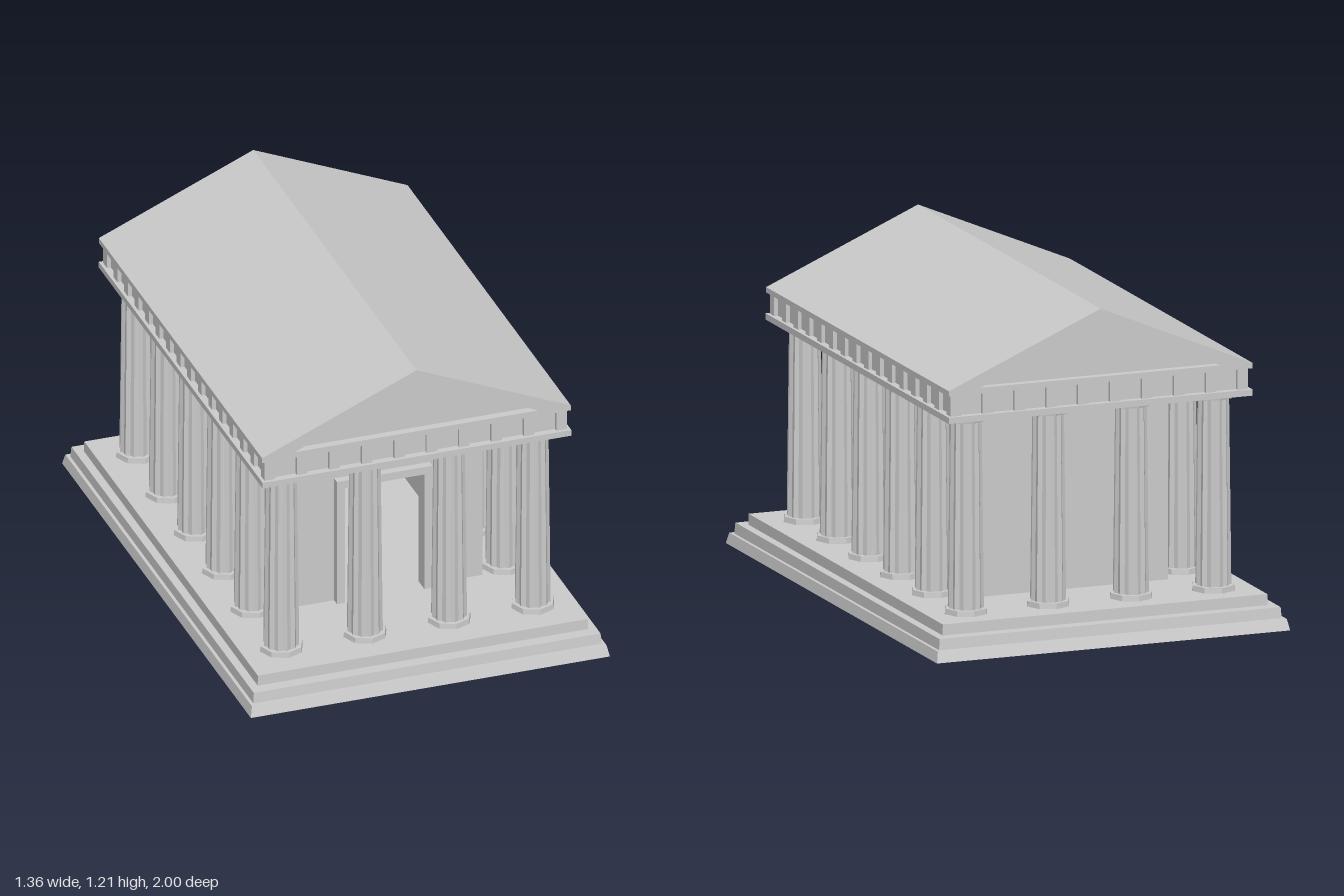
import * as THREE from 'three';

const mat = new THREE.MeshStandardMaterial({ color: 0xcccccc, flatShading: true });
const openMat = new THREE.MeshStandardMaterial({ color: 0xcccccc, flatShading: true, side: THREE.DoubleSide });
const ZC = -0.01; // centre of the upper building along z

function add(parent, geometry, name, x = 0, y = 0, z = 0, material = mat) {
  const mesh = new THREE.Mesh(geometry, material);
  mesh.name = name;
  mesh.position.set(x, y, z);
  parent.add(mesh);
  return mesh;
}

// Box given by half width, half depth and vertical extent
function slab(parent, name, hx, hz, y0, y1, x = 0, z = 0) {
  return add(parent, new THREE.BoxGeometry(hx * 2, y1 - y0, hz * 2), name, x, (y0 + y1) / 2, z);
}

// Shaft with every second edge pulled in to form flutes
function flutedShaft(rTop, rBottom, height, flutes) {
  const g = new THREE.CylinderGeometry(rTop, rBottom, height, flutes * 2, 1, true);
  const p = g.attributes.position;
  for (let i = 0; i < p.count; i++) {
    const step = Math.round(Math.atan2(p.getX(i), p.getZ(i)) / (Math.PI / flutes));
    const k = Math.abs(step) % 2 ? 0.89 : 1;
    p.setX(i, p.getX(i) * k);
    p.setZ(i, p.getZ(i) * k);
  }
  return g;
}

// Outline through points, as a shape or as a hole
function outline(points, PathType) {
  return new PathType(points.map(([x, y]) => new THREE.Vector2(x, y)));
}

export function createModel() {
  const temple = new THREE.Group();
  temple.name = 'temple';

  // Stepped platform: a four-sided shell, open underneath
  const profile = [[1, 0], [0.988, 0.04], [0.97, 0.04], [0.966, 0.08], [0.92, 0.08], [0.919, 0.12], [0, 0.12]]
    .map(([r, y]) => new THREE.Vector2(r * Math.SQRT2, y));
  const platform = new THREE.LatheGeometry(profile, 4, Math.PI / 4);
  platform.scale(0.678, 1, 1);
  add(temple, platform, 'steppedPlatform', 0, 0, 0, openMat);

  // Ring of columns: 4 across, 6 along
  const baseGeo = new THREE.CylinderGeometry(0.079, 0.081, 0.02, 8);
  const shaftGeo = flutedShaft(0.057, 0.065, 0.69, 12);
  const capGeo = new THREE.CylinderGeometry(0.075, 0.072, 0.016, 8);
  const columnX = [-0.475, -0.159, 0.159, 0.475];
  const columnZ = [-0.762, -0.45, -0.15, 0.15, 0.45, 0.762];
  columnX.forEach((x, i) => columnZ.forEach((z, j) => {
    if (i > 0 && i < 3 && j > 0 && j < 5) return;
    const column = new THREE.Group();
    column.name = 'column';
    column.position.set(x, 0, ZC + z);
    add(column, baseGeo, 'columnBase', 0, 0.13, 0);
    add(column, shaftGeo, 'columnShaft', 0, 0.483, 0);
    add(column, capGeo, 'columnCapital', 0, 0.832, 0);
    temple.add(column);
  }));

  // Inner chamber: four thin walls with a doorway in the front
  const chamber = new THREE.Group();
  chamber.name = 'chamber';
  temple.add(chamber);
  const front = 0.485, back = -0.575, t = 0.01, hw = 0.381, door = 0.15;
  for (const s of [-1, 1]) {
    slab(chamber, 'sideWall', t, (front - back) / 2, 0.12, 0.84, s * (hw - t), (front + back) / 2);
    slab(chamber, 'frontWall', (hw - 2 * t - door) / 2, t, 0.12, 0.84, s * (hw - 2 * t + door) / 2, front - t);
    slab(chamber, 'doorJamb', 0.015, 0.03, 0.12, 0.585, s * (door + 0.015), front);
  }
  slab(chamber, 'backWall', hw - 2 * t, t, 0.12, 0.84, 0, back + t);
  slab(chamber, 'wallOverDoor', door, t, 0.585, 0.84, 0, front - t);
  slab(chamber, 'doorLintel', door + 0.03, 0.03, 0.585, 0.615, 0, front);

  // Entablature: lower band and recessed frieze
  slab(temple, 'architrave', 0.583, 0.868, 0.84, 0.863, 0, ZC);
  slab(temple, 'frieze', 0.556, 0.841, 0.863, 0.94, 0, ZC);

  // Frieze blocks around all four sides
  const nx = 10, nz = 16, half = 0.02;
  for (const s of [-1, 1]) {
    for (let i = 0; i < nx; i++) {
      const x = (i / (nx - 1) * 2 - 1) * (0.571 - half);
      slab(temple, 'friezeBlock', half, 0.01, 0.863, 0.94, x, ZC + s * 0.845);
    }
    for (let i = 0; i < nz; i++) {
      const z = ZC + (i / (nz - 1) * 2 - 1) * (0.855 - half);
      slab(temple, 'friezeBlock', 0.01, half, 0.863, 0.94, s * 0.561, z);
    }
  }

  // Gabled roof with its eaves band in one piece, and recessed gable panels
  const roofFront = 0.852, roofBack = -0.877, recess = 0.03;
  const depth = roofFront - roofBack;
  const gable = outline([[-0.583, 0.94], [0.583, 0.94], [0.583, 0.96], [0, 1.21], [-0.583, 0.96]], THREE.Shape);
  const opening = [[-0.46, 0.962], [0.46, 0.962], [0, 1.16]];
  gable.holes.push(outline(opening, THREE.Path));
  add(temple, new THREE.ExtrudeGeometry(gable, { depth, bevelEnabled: false }), 'roof', 0, 0, roofBack);
  const panel = outline(opening, THREE.Shape);
  add(temple, new THREE.ExtrudeGeometry(panel, { depth: depth - 2 * recess, bevelEnabled: false }),
    'gablePanels', 0, 0, roofBack + recess);

  return temple;
}
